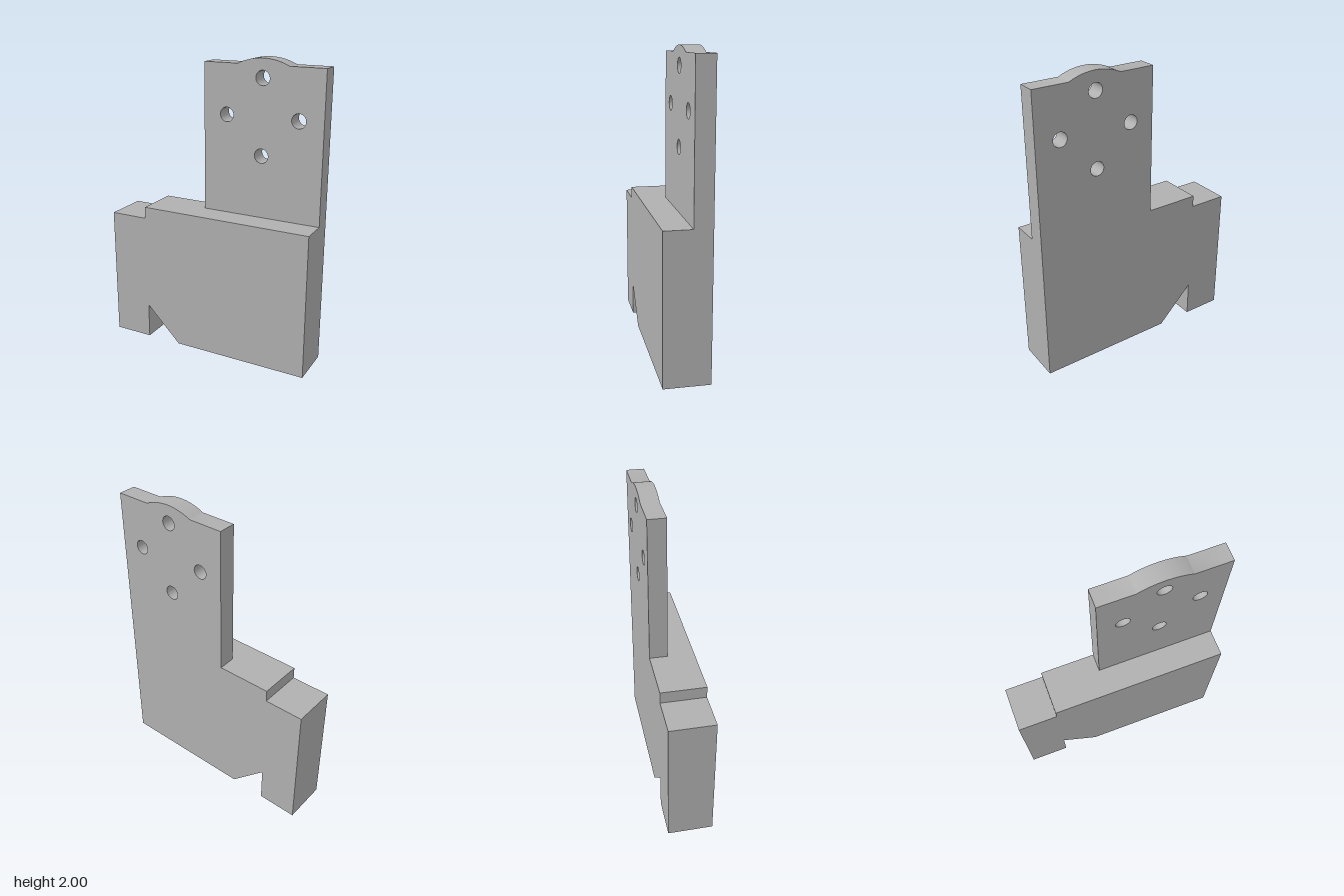
import * as THREE from 'three';
import { toCreasedNormals } from 'three/addons/utils/BufferGeometryUtils.js';

const BACK = -0.15, PLATE_FRONT = -0.03, BODY_FRONT = 0.15;
const LEFT = 0.725, SHELF = 0.98;

// Extrude an upright profile from the back plane to the given front plane
function slab(name, shape, front, material) {
  const extruded = new THREE.ExtrudeGeometry(shape, {
    depth: front - BACK, bevelEnabled: false, curveSegments: 24,
  });
  const mesh = new THREE.Mesh(toCreasedNormals(extruded, Math.PI / 6), material);
  mesh.position.z = BACK;
  mesh.name = name;
  return mesh;
}

export function createModel() {
  const model = new THREE.Group();
  model.name = 'mountingBracket';
  const grey = new THREE.MeshStandardMaterial({ color: 0xb0b0b0 });
  grey.name = 'grey';

  // Thick lower block with a stepped top and a triangular notch underneath
  const body = new THREE.Shape([
    [-0.725, 0], [-0.455, 0], [-0.455, 0.245], [-0.21, 0], [LEFT, 0],
    [LEFT, SHELF], [-0.46, SHELF], [-0.46, 0.9], [-0.725, 0.9],
  ].map(([x, y]) => new THREE.Vector2(x, y)));
  model.add(slab('body', body, BODY_FRONT, grey));

  // Thin upright plate with a shallow arched crown
  const cx = 0.317, top = 1.96, half = 0.173, rise = 0.04;
  const radius = (half * half + rise * rise) / (2 * rise);
  const angle = Math.asin(half / radius);
  const plate = new THREE.Shape();
  plate.moveTo(-0.09, SHELF);
  plate.lineTo(LEFT, SHELF);
  plate.lineTo(LEFT, top);
  plate.lineTo(cx + half, top);
  plate.absarc(cx, top + rise - radius, radius, Math.PI / 2 - angle, Math.PI / 2 + angle, false);
  plate.lineTo(-0.09, top);
  plate.closePath();

  // Four bolt holes spaced evenly on a circle
  for (let i = 0; i < 4; i++) {
    const a = i * Math.PI / 2;
    const hole = new THREE.Path();
    hole.absarc(cx + 0.245 * Math.cos(a), 1.635 + 0.245 * Math.sin(a), 0.047, 0, Math.PI * 2, true);
    plate.holes.push(hole);
  }
  model.add(slab('uprightPlate', plate, PLATE_FRONT, grey));

  return model;
}
